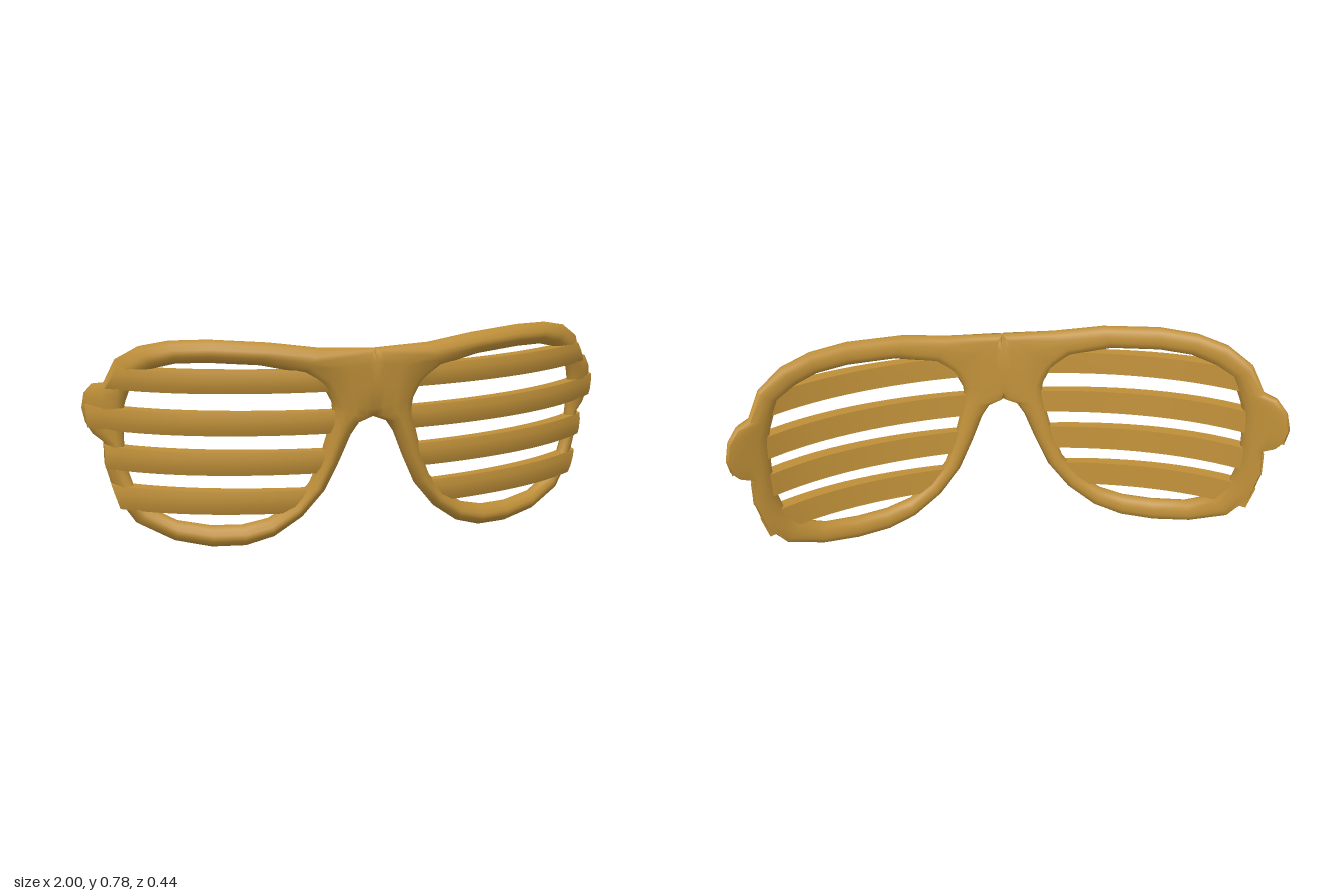
import * as THREE from 'three';
import { mergeGeometries, toCreasedNormals } from 'three/addons/utils/BufferGeometryUtils.js';

// Wrap-around curve of the glasses: depth of the middle surface at (x, y)
const bend = (x, y) => 0.18 - 0.28 * x * x - 0.08 * x ** 6 + 0.1 * (y - 0.6);

// Skin a row of equal cross-sections; closed runs back to the start, otherwise the ends are capped
function loft(sections, closed) {
  const n = sections[0].length, m = sections.length, idx = [];
  for (let i = 0; i < (closed ? m : m - 1); i++) {
    for (let j = 0; j < n; j++) {
      const a = i * n + j, b = i * n + (j + 1) % n;
      const c = ((i + 1) % m) * n + j, d = ((i + 1) % m) * n + (j + 1) % n;
      idx.push(a, c, b, b, c, d);
    }
  }
  if (!closed) {
    const e = (m - 1) * n;
    for (let j = 1; j < n - 1; j++) idx.push(0, j, j + 1, e, e + j + 1, e + j);
  }
  // Turn the faces outward if the enclosed volume comes out negative
  const p = sections.flat();
  let volume = 0;
  for (let i = 0; i < idx.length; i += 3) {
    volume += p[idx[i]].dot(p[idx[i + 1]].clone().cross(p[idx[i + 2]]));
  }
  if (volume < 0) idx.reverse();
  const g = new THREE.BufferGeometry().setFromPoints(p);
  g.setIndex(idx);
  return g;
}

// Mirrored copy across x = 0 with the face order restored
function mirror(geometry) {
  const g = geometry.clone().scale(-1, 1, 1);
  g.setIndex(Array.from(g.index.array).reverse());
  return g;
}

// Left half of the frame: outer x, y, inner x, y, and 1 where it meets the other half
const ring = [
  [0, 0.747, 0.2, 0.63], [0.2, 0.755, 0.25, 0.665], [0.37, 0.777, 0.4, 0.697],
  [0.57, 0.787, 0.57, 0.705], [0.7, 0.78, 0.68, 0.7], [0.8, 0.755, 0.75, 0.68],
  [0.88, 0.7, 0.815, 0.645], [0.92, 0.61, 0.84, 0.58],
  // hinge tab
  [0.96, 0.6, 0.85, 0.55], [0.99, 0.56, 0.857, 0.52], [1, 0.5, 0.86, 0.49],
  [0.99, 0.45, 0.86, 0.46], [0.965, 0.41, 0.86, 0.43], [0.93, 0.385, 0.86, 0.4],
  // lower rim
  [0.93, 0.3, 0.855, 0.3], [0.9, 0.18, 0.83, 0.215], [0.83, 0.08, 0.78, 0.145],
  [0.7, 0.022, 0.69, 0.1], [0.57, 0.003, 0.57, 0.085], [0.45, 0.01, 0.46, 0.09],
  [0.35, 0.045, 0.37, 0.115], [0.25, 0.12, 0.285, 0.175], [0.17, 0.22, 0.225, 0.25],
  // nose side and bridge
  [0.12, 0.33, 0.19, 0.34], [0.08, 0.43, 0.163, 0.44], [0.05, 0.475, 0.15, 0.5],
  [0, 0.495, 0.147, 0.53], [0, 0.53, 0.15, 0.555, 1], [0, 0.62, 0.165, 0.585, 1],
  [0, 0.71, 0.18, 0.61, 1],
];

// Rim section: domed front, flatter back
function rimSection([ox, oy, ix, iy, joined]) {
  const w = Math.hypot(ox - ix, oy - iy), r1 = Math.min(0.01, w * 0.15), r2 = Math.min(0.03, w * 0.35);
  const d = [0, r1, r2, w / 2, w - r2, w - r1, w];
  const front = [0, 0.5, 0.9, 1, 0.9, 0.5, 0], back = [-0.3, -0.8, -0.97, -1, -0.97, -0.8, -0.3];
  const at = (k, heights) => {
    const x = ix + (ox - ix) * d[k] / w, y = iy + (oy - iy) * d[k] / w;
    const h = joined && k > 3 ? heights[3] : heights[k];
    return new THREE.Vector3(x, y, bend(x, y) + h * 0.036);
  };
  const order = [0, 1, 2, 3, 4, 5, 6];
  return [...order.map((k) => at(k, front)), ...order.reverse().map((k) => at(k, back))];
}

// Shutter slat from its inner to its outer end, standing proud of the rim at the outer end
function slatGeometry({ y0, y1, in0, in1, out0, out1 }) {
  const sections = [], steps = 14;
  for (let i = 0; i <= steps; i++) {
    const t = i / steps;
    const at = (v, h) => {
      const x = THREE.MathUtils.lerp(in0 + (in1 - in0) * v, out0 + (out1 - out0) * v, t);
      const y = y0 + (y1 - y0) * v;
      return new THREE.Vector3(x, y, bend(x, y) + h);
    };
    const f = 0.018 + 0.026 * t;
    sections.push([at(0, -0.022), at(0, f - 0.008), at(0.3, f), at(0.7, f), at(1, f - 0.008), at(1, -0.022)]);
  }
  return loft(sections, false);
}

// y0/y1: lower and upper edge; in/out: end positions at those edges
const slats = [
  { y0: 0.597, y1: 0.678, in0: 0.14, in1: 0.22, out0: 0.92, out1: 0.875 },
  { y0: 0.44, y1: 0.525, in0: 0.14, in1: 0.12, out0: 0.985, out1: 0.99 },
  { y0: 0.29, y1: 0.378, in0: 0.18, in1: 0.16, out0: 0.928, out1: 0.93 },
  { y0: 0.138, y1: 0.228, in0: 0.27, in1: 0.21, out0: 0.885, out1: 0.912 },
];

export function createModel() {
  const plastic = new THREE.MeshStandardMaterial({ color: 0xbd8e38 });
  plastic.name = 'goldenPlastic';
  const model = new THREE.Group();
  model.name = 'shutterGlasses';
  const add = (name, geometry, crease) => {
    const mesh = new THREE.Mesh(toCreasedNormals(geometry, crease), plastic);
    mesh.name = name;
    model.add(mesh);
  };

  // Frame with bridge and hinge tabs
  const half = loft(ring.map(rimSection), true);
  add('frame', mergeGeometries([half, mirror(half)]), 1.0);

  // Four slats across each lens opening
  slats.forEach((s, i) => {
    const g = slatGeometry(s);
    add(`leftSlat${i + 1}`, g, 0.7);
    add(`rightSlat${i + 1}`, mirror(g), 0.7);
  });
  return model;
}
